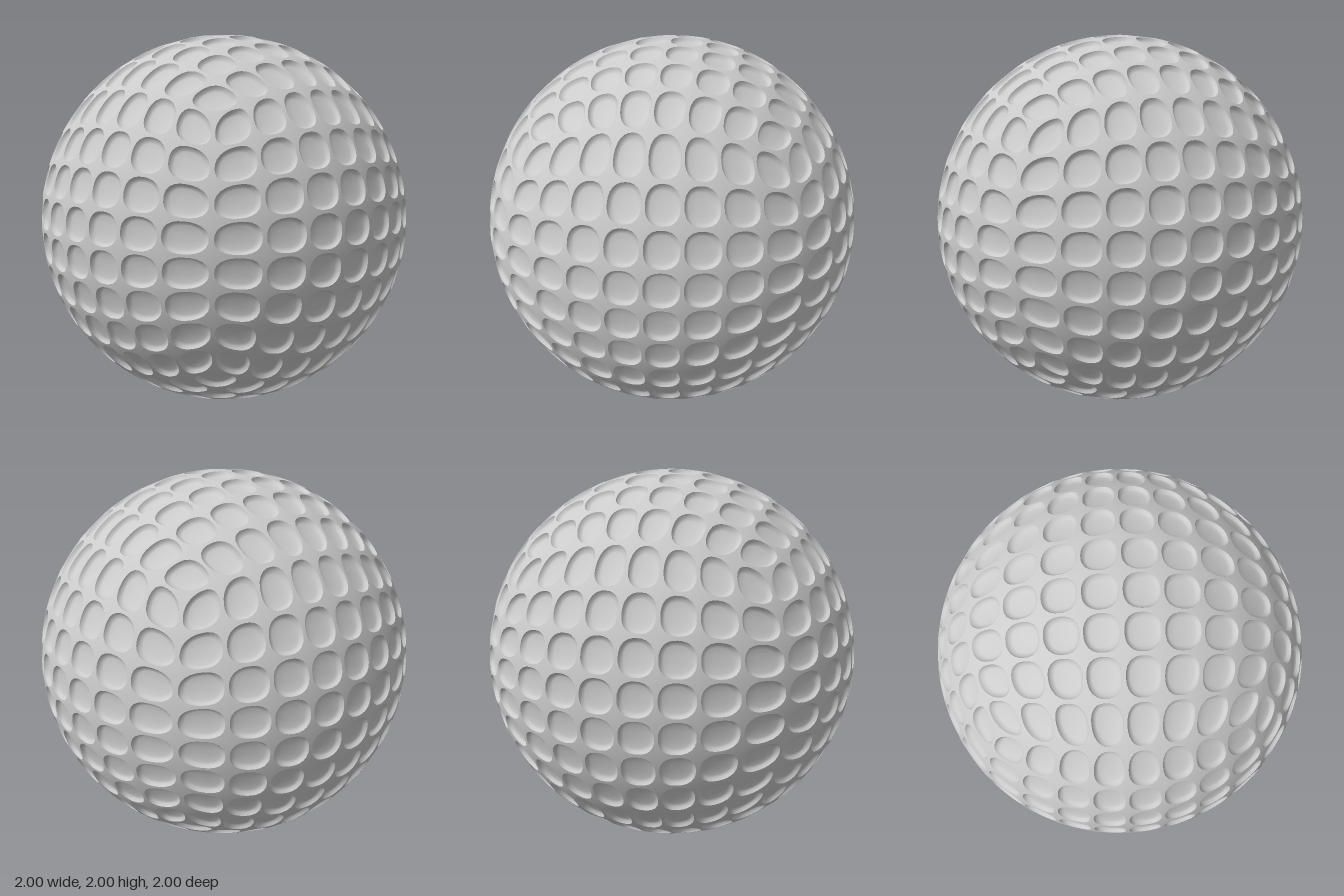
import * as THREE from 'three';

const CELLS = 8;      // dimples along each side of a cube face
const SEG = 24;       // points around a dimple
const FILL = 0.91;    // dimple width as a share of its cell
// dimple profile from rim to centre: [share of rim radius, depth]
const PROFILE = [[1, 0], [0.93, 0.016], [0.75, 0.022], [0.4, 0.026], [0, 0.027]];

// evenly wraps a point on the cube of half-size 1 onto the unit sphere
function toSphere({ x, y, z }) {
  const a = x * x, b = y * y, c = z * z;
  return new THREE.Vector3(
    x * Math.sqrt(1 - b / 2 - c / 2 + (b * c) / 3),
    y * Math.sqrt(1 - c / 2 - a / 2 + (c * a) / 3),
    z * Math.sqrt(1 - a / 2 - b / 2 + (a * b) / 3)
  ).normalize();
}

// unit outlines of a cell (square) and of a dimple (rounded square)
const square = [], round = [];
for (let i = 0; i < SEG; i++) {
  const t = (i / SEG) * Math.PI * 2, c = Math.cos(t), s = Math.sin(t);
  const m = Math.max(Math.abs(c), Math.abs(s));
  const r = Math.pow(Math.abs(c) ** 2.4 + Math.abs(s) ** 2.4, -1 / 2.4);
  square.push([c / m, s / m]);
  round.push([c * r, s * r]);
}

// six faces, each a right-handed set of axes
function cubeFaces() {
  const axes = [[1, 0, 0], [0, 1, 0], [0, 0, 1]].map(a => new THREE.Vector3(...a));
  const faces = [];
  for (let k = 0; k < 3; k++) {
    const u = axes[(k + 1) % 3], v = axes[(k + 2) % 3], w = axes[k];
    faces.push([u, v, w], [v, u, w.clone().negate()]);
  }
  return faces;
}

// collects rings of points and joins neighbouring rings with triangles
function ringBuilder() {
  const pos = [], idx = [];
  return {
    add(rings) {
      const start = pos.length / 3;
      rings.forEach(ring => ring.forEach(p => pos.push(p.x, p.y, p.z)));
      for (let r = 0; r < rings.length - 1; r++) {
        const a = start + r * SEG, b = a + SEG;
        const toPoint = rings[r + 1].length === 1;
        for (let i = 0; i < SEG; i++) {
          const j = (i + 1) % SEG;
          if (toPoint) idx.push(a + i, a + j, b);
          else idx.push(a + i, a + j, b + i, a + j, b + j, b + i);
        }
      }
    },
    geometry() {
      const g = new THREE.BufferGeometry();
      g.setAttribute('position', new THREE.Float32BufferAttribute(pos, 3));
      g.setIndex(idx);
      return g;
    }
  };
}

export function createModel() {
  const group = new THREE.Group();
  group.name = 'dimpledBall';
  const material = new THREE.MeshStandardMaterial({ color: 0xcccccc });
  const land = ringBuilder(), bowls = ringBuilder();
  const half = 1 / CELLS;

  for (const [u, v, w] of cubeFaces()) {
    const point = (a, b, depth = 0) => toSphere(
      w.clone().addScaledVector(u, a).addScaledVector(v, b)).multiplyScalar(1 - depth);
    for (let row = 0; row < CELLS; row++) {
      for (let col = 0; col < CELLS; col++) {
        const ca = (2 * col + 1) * half - 1, cb = (2 * row + 1) * half - 1;
        const ring = (outline, size, depth) =>
          outline.map(([a, b]) => point(ca + a * size, cb + b * size, depth));
        // surface between the dimples
        land.add([ring(square, half, 0), ring(round, half * FILL, 0)]);
        // hollow of the dimple
        bowls.add(PROFILE.map(([s, d]) =>
          s ? ring(round, half * FILL * s, d) : [point(ca, cb, d)]));
      }
    }
  }

  // the land keeps true sphere normals, so the dimple rims stay crisp
  const shellGeometry = land.geometry();
  shellGeometry.setAttribute('normal', shellGeometry.getAttribute('position').clone());
  const bowlGeometry = bowls.geometry();
  bowlGeometry.computeVertexNormals();

  for (const [name, geometry] of [['shell', shellGeometry], ['dimples', bowlGeometry]]) {
    const mesh = new THREE.Mesh(geometry, material);
    mesh.name = name;
    mesh.position.y = 1;
    group.add(mesh);
  }
  return group;
}
